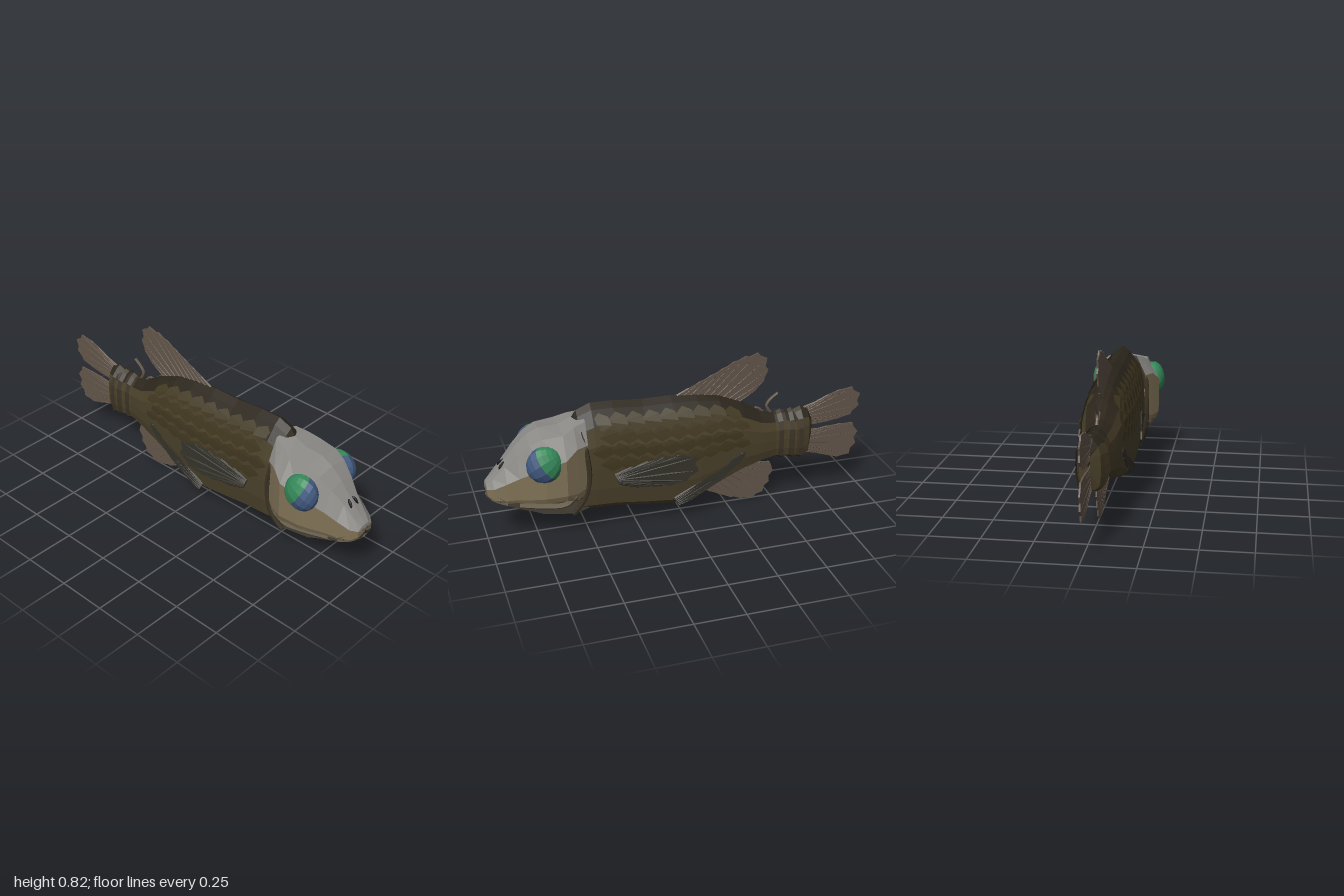
import * as THREE from 'three';

const V = (x, y, z) => new THREE.Vector3(x, y, z);
const mat = (color) => new THREE.MeshStandardMaterial({ color, flatShading: true, side: THREE.DoubleSide });
const M = {
  back: mat(0x2c261c), flank: mat(0x4b412b), scale: mat(0x40371f), band: mat(0x3a3224),
  crown: mat(0x8c8a86), cheek: mat(0x807256), chin: mat(0x484238), lip: mat(0x6a5f4c),
  fin: mat(0x63564a), darkFin: mat(0x34322a), blue: mat(0x41587e), green: mat(0x35885a), black: mat(0x17181c),
};

function mesh(name, geometry, material) {
  const m = new THREE.Mesh(geometry, material);
  m.name = name;
  return m;
}

// Skin over a list of cross-sections running from back to front
function loft(rings) {
  const n = rings[0].length, pos = [], idx = [];
  rings.forEach((r) => r.forEach((p) => pos.push(p.x, p.y, p.z)));
  for (let i = 0; i < rings.length - 1; i++) {
    for (let j = 0; j < n - 1; j++) {
      const a = i * n + j, d = a + n;
      idx.push(a, a + 1, d + 1, a, d + 1, d);
    }
  }
  const g = new THREE.BufferGeometry();
  g.setAttribute('position', new THREE.Float32BufferAttribute(pos, 3));
  g.setIndex(idx);
  g.computeVertexNormals();
  return g;
}

// Full ring from its +x half, bottom to top
const mirrorRing = (half) => [...half, ...half.slice(0, -1).reverse().map((p) => V(-p.x, p.y, p.z))];
const slice = (rings, a, b) => rings.map((r) => r.slice(a, b + 1));

// Body stations: z, top, bottom, half width
const BODY = [
  [-0.72, 0.42, 0.33, 0.006], [-0.69, 0.49, 0.24, 0.05], [-0.65, 0.5, 0.22, 0.062], [-0.61, 0.485, 0.235, 0.076],
  [-0.56, 0.495, 0.24, 0.07], [-0.5, 0.49, 0.245, 0.068], [-0.42, 0.51, 0.235, 0.085], [-0.32, 0.575, 0.205, 0.1],
  [-0.2, 0.625, 0.155, 0.112], [-0.08, 0.645, 0.1, 0.118], [0.05, 0.655, 0.072, 0.12], [0.2, 0.655, 0.088, 0.12],
  [0.35, 0.668, 0.108, 0.12], [0.46, 0.67, 0.112, 0.118], [0.53, 0.64, 0.115, 0.11], [0.58, 0.57, 0.13, 0.09],
];
// Half section: width share, height share
const SECTION = [[0, 0], [0.5, 0.012], [0.86, 0.08], [0.98, 0.25], [1, 0.45], [0.96, 0.66], [0.75, 0.83], [0.3, 0.955], [0, 1]];

function lerpRows(rows, k, key) {
  const up = rows[0][key] < rows[rows.length - 1][key];
  let i = rows.findIndex((r) => (up ? r[key] >= k : r[key] <= k));
  i = Math.max(1, i);
  const a = rows[i - 1], b = rows[i], f = (k - a[key]) / (b[key] - a[key]);
  return a.map((v, c) => v + (b[c] - v) * f);
}

function bodyPoint(side, z, t, lift) {
  const [, top, bottom, w] = lerpRows(BODY, z, 0);
  const share = lerpRows(SECTION, t, 1)[0];
  return V(side * (share * w + lift), bottom + (top - bottom) * t + lift * 0.4, z);
}

// Overlapping scales in staggered rows, rear edges lifted
function scales(side) {
  const pos = [];
  for (let row = 0; row < 4; row++) {
    for (let i = 0; i < 9; i++) {
      const z = 0.45 - i * 0.085 - (row % 2) * 0.04, t = 0.86 - row * 0.125, h = 0.07;
      const p = [[0.03, 0, 0.001], [-0.02, h, 0.004], [-0.065, h * 0.55, 0.009], [-0.075, -h * 0.4, 0.009], [-0.03, -h, 0.004]]
        .map(([dz, dt, lift]) => bodyPoint(side, z + dz, t + dt, lift));
      for (let k = 1; k < 4; k++) {
        const tri = side > 0 ? [p[0], p[k + 1], p[k]] : [p[0], p[k], p[k + 1]];
        tri.forEach((v) => pos.push(v.x, v.y, v.z));
      }
    }
  }
  const g = new THREE.BufferGeometry();
  g.setAttribute('position', new THREE.Float32BufferAttribute(pos, 3));
  g.computeVertexNormals();
  return mesh('scales', g, M.scale);
}

// Thin fin between a root line and an outer curve ([z, y] points), with rays
function fin(name, root, outer, rays, material, xAt = () => 0) {
  const group = new THREE.Group();
  group.name = name;
  const curve = new THREE.CatmullRomCurve3(outer.map(([z, y]) => V(0, y, z)), false, 'centripetal');
  const rootAt = (t) => V(0, root[0][1] + (root[1][1] - root[0][1]) * t, root[0][0] + (root[1][0] - root[0][0]) * t);
  const shape = new THREE.Shape();
  shape.moveTo(root[0][0], root[0][1]);
  for (let i = 0; i <= rays * 2; i++) {
    const t = i / (rays * 2), p = curve.getPointAt(t);
    if (i % 2) p.lerp(rootAt(t), 0.06);
    shape.lineTo(p.z, p.y);
  }
  shape.lineTo(root[1][0], root[1][1]);
  const thick = 0.008;
  const g = new THREE.ExtrudeGeometry(shape, { depth: thick, bevelEnabled: false });
  g.rotateY(-Math.PI / 2).translate(thick / 2, 0, 0);
  const p = g.attributes.position;
  for (let i = 0; i < p.count; i++) p.setX(i, p.getX(i) + xAt(p.getZ(i)));
  g.computeVertexNormals();
  group.add(mesh('membrane', g, material));
  for (let i = 0; i <= rays; i++) {
    const a = rootAt(i / rays), b = curve.getPointAt(i / rays).lerp(a, 0.03);
    a.x = xAt(a.z);
    b.x = xAt(b.z);
    const ray = mesh('ray', new THREE.CylinderGeometry(0.004, 0.007, a.distanceTo(b), 4), material);
    ray.position.copy(a).lerp(b, 0.5);
    ray.quaternion.setFromUnitVectors(V(0, 1, 0), b.clone().sub(a).normalize());
    group.add(ray);
  }
  return group;
}

const tube = (name, pts, r, material, seg = 10) =>
  mesh(name, new THREE.TubeGeometry(new THREE.CatmullRomCurve3(pts.map((p) => V(...p))), seg, r, 6), material);

// Faceted eye: blue front bowl and green rear bowl
function eye(side) {
  const group = new THREE.Group();
  group.name = side > 0 ? 'leftEye' : 'rightEye';
  const turn = new THREE.Quaternion().setFromUnitVectors(V(0, 1, 0), V(side * 0.35, 0.5, -0.8).normalize());
  const split = Math.PI * 0.45;
  [['greenEyeRear', 0, split, M.green], ['blueEyeFront', split, Math.PI - split, M.blue]].forEach(([name, start, len, m]) => {
    const g = new THREE.SphereGeometry(1, 12, 5, 0, Math.PI * 2, start, len);
    g.applyQuaternion(turn).scale(0.06, 0.092, 0.09);
    group.add(mesh(name, g, m));
  });
  group.position.set(side * 0.142, 0.44, 0.72);
  group.rotation.z = side * 0.12;
  return group;
}

export function createModel() {
  const fish = new THREE.Group();
  fish.name = 'fish';

  // Body: flanks and belly, with a darker back
  const bodyRings = BODY.map(([z, top, bottom, w]) =>
    mirrorRing(SECTION.map(([s, t]) => V(s * w, bottom + (top - bottom) * t, z))));
  fish.add(mesh('leftFlank', loft(slice(bodyRings, 0, 6)), M.flank));
  fish.add(mesh('back', loft(slice(bodyRings, 6, 10)), M.back));
  fish.add(mesh('rightFlank', loft(slice(bodyRings, 10, 16)), M.flank));

  // Head stations: z, top, crown width, cheek top, cheek width, cheek bottom, chin, chin width
  const headRings = [
    [0.5, 0.62, 0.07, 0.5, 0.118, 0.24, 0.12, 0.085], [0.56, 0.605, 0.09, 0.5, 0.15, 0.22, 0.104, 0.09],
    [0.62, 0.58, 0.115, 0.46, 0.18, 0.24, 0.1, 0.08], [0.72, 0.574, 0.108, 0.43, 0.166, 0.235, 0.115, 0.075],
    [0.78, 0.545, 0.095, 0.4, 0.145, 0.235, 0.145, 0.072], [0.84, 0.49, 0.075, 0.37, 0.118, 0.235, 0.17, 0.07],
    [0.9, 0.42, 0.052, 0.34, 0.1, 0.235, 0.2, 0.065], [0.96, 0.35, 0.04, 0.31, 0.078, 0.24, 0.23, 0.058],
    [0.99, 0.32, 0.025, 0.3, 0.05, 0.262, 0.25, 0.04], [0.995, 0.288, 0.002, 0.286, 0.004, 0.282, 0.28, 0.002],
  ].map(([z, top, wt, ct, wc, cb, bot, wb]) => mirrorRing([
    V(0, bot, z), V(wb, bot + (cb - bot) * 0.15, z), V(wb * 1.05, bot + (cb - bot) * 0.75, z), V(wc * 0.93, cb, z),
    V(wc, cb + (ct - cb) * 0.15, z), V(wc, ct, z), V(wt, top - (top - ct) * 0.12, z), V(0, top, z),
  ]));
  fish.add(mesh('leftChin', loft(slice(headRings, 0, 3)), M.chin));
  fish.add(mesh('leftCheek', loft(slice(headRings, 3, 5)), M.cheek));
  fish.add(mesh('crown', loft(slice(headRings, 5, 9)), M.crown));
  fish.add(mesh('rightCheek', loft(slice(headRings, 9, 11)), M.cheek));
  fish.add(mesh('rightChin', loft(slice(headRings, 11, 14)), M.chin));

  // Arched mouth
  fish.add(tube('upperLip', [[-0.09, 0.245, 0.9], [-0.06, 0.28, 0.96], [0, 0.3, 0.988], [0.06, 0.28, 0.96], [0.09, 0.245, 0.9]], 0.012, M.lip));
  fish.add(tube('mouthSlit', [[-0.08, 0.242, 0.93], [-0.04, 0.268, 0.975], [0, 0.28, 0.99], [0.04, 0.268, 0.975], [0.08, 0.242, 0.93]], 0.007, M.black));
  fish.add(tube('lowerLip', [[-0.08, 0.225, 0.9], [-0.05, 0.243, 0.96], [0, 0.257, 0.985], [0.05, 0.243, 0.96], [0.08, 0.225, 0.9]], 0.012, M.lip));

  for (const side of [1, -1]) {
    fish.add(eye(side), scales(side));

    const nostril = mesh('nostril', new THREE.SphereGeometry(1, 8, 6), M.black);
    nostril.scale.set(0.008, 0.024, 0.012);
    nostril.position.set(side * 0.02, 0.405, 0.908);
    nostril.rotation.set(-0.7, 0, side * 0.2);
    fish.add(nostril);

    // Gill cover edge, cheek to throat
    fish.add(tube('gillEdge', [[0.085, 0.56, 0.53], [0.122, 0.46, 0.51], [0.125, 0.32, 0.5], [0.12, 0.2, 0.53], [0.1, 0.125, 0.58]]
      .map(([x, y, z]) => [side * x, y, z]), 0.013, M.band));
    fish.add(tube('gillFold', [[0.145, 0.25, 0.57], [0.13, 0.2, 0.62], [0.1, 0.19, 0.72], [0.07, 0.2, 0.84]]
      .map(([x, y, z]) => [side * x, y, z]), 0.014, M.lip));

    // Paired fins
    fish.add(fin(side > 0 ? 'leftPectoralFin' : 'rightPectoralFin', [[0.37, 0.32], [0.35, 0.27]],
      [[0.28, 0.355], [0.14, 0.385], [-0.02, 0.385], [-0.055, 0.35], [-0.04, 0.28], [0.06, 0.23], [0.25, 0.235]],
      9, M.darkFin, (z) => side * (0.124 + Math.max(0, 0.25 - z) * 0.115)));
    fish.add(fin(side > 0 ? 'leftPelvicFin' : 'rightPelvicFin', [[0.06, 0.13], [0.04, 0.09]],
      [[-0.05, 0.19], [-0.2, 0.28], [-0.36, 0.345], [-0.27, 0.26], [-0.16, 0.18], [-0.03, 0.11]],
      5, M.darkFin, (z) => side * (0.108 + Math.min(0, z + 0.1) * 0.04)));
  }

  // Median fins
  fish.add(fin('dorsalFin', [[0.03, 0.64], [-0.31, 0.57]],
    [[-0.05, 0.68], [-0.2, 0.75], [-0.33, 0.81], [-0.44, 0.82], [-0.465, 0.77], [-0.46, 0.69], [-0.4, 0.62]], 10, M.fin));
  fish.add(fin('analFin', [[-0.1, 0.12], [-0.36, 0.23]],
    [[-0.16, 0.08], [-0.3, 0.018], [-0.42, 0.006], [-0.48, 0.06], [-0.51, 0.19], [-0.43, 0.21]], 9, M.fin));
  fish.add(fin('upperTailFin', [[-0.66, 0.485], [-0.66, 0.39]],
    [[-0.75, 0.515], [-0.86, 0.56], [-0.96, 0.565], [-0.995, 0.5], [-0.96, 0.425], [-0.85, 0.395], [-0.74, 0.385]], 9, M.fin));
  fish.add(fin('lowerTailFin', [[-0.66, 0.35], [-0.66, 0.24]],
    [[-0.75, 0.355], [-0.88, 0.365], [-0.975, 0.355], [-0.99, 0.29], [-0.96, 0.19], [-0.9, 0.17], [-0.75, 0.215]], 9, M.fin));

  // Small hooked fin and spur before the tail
  fish.add(tube('hookedFin', [[0, 0.48, -0.49], [0, 0.53, -0.465], [0, 0.56, -0.485], [0, 0.59, -0.525]], 0.008, M.fin));
  fish.add(tube('spur', [[0, 0.49, -0.45], [0, 0.52, -0.42], [0, 0.525, -0.4]], 0.007, M.fin, 4));

  // Raised bands around the tail stalk
  for (const z of [-0.63, -0.58, -0.52]) {
    const [, top, bottom, w] = lerpRows(BODY, z, 0);
    const ring = (dz, grow) => mirrorRing(SECTION.map(([s, t]) =>
      V(s * w * (1 + grow), bottom + (top - bottom) * (t + (t - 0.5) * grow), z + dz)));
    fish.add(mesh('tailBand', loft([ring(-0.02, 0.07), ring(0.025, -0.06)]), M.band));
  }
  return fish;
}
